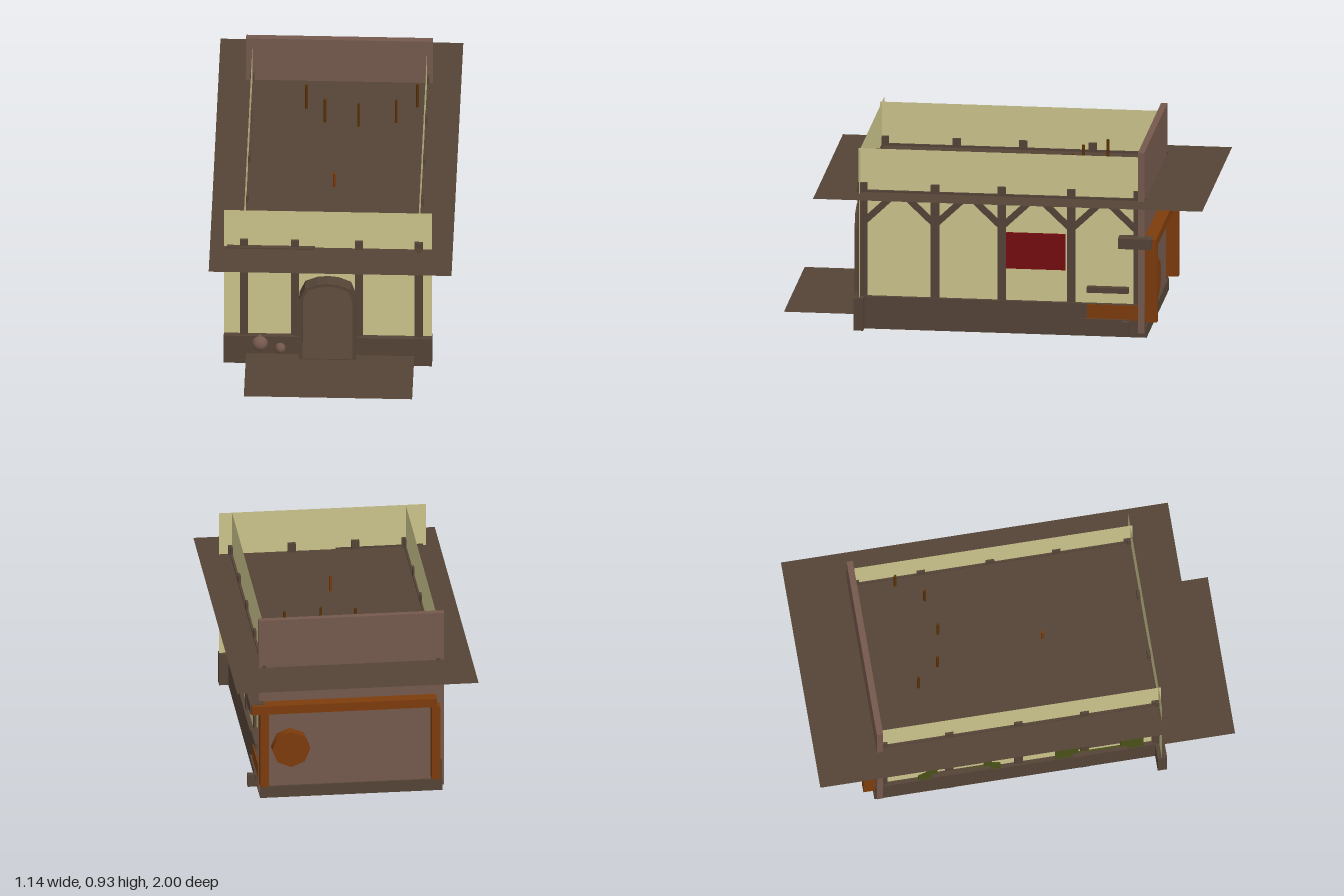
import * as THREE from 'three';

const mat = (name, color, side = THREE.FrontSide) => {
  const m = new THREE.MeshStandardMaterial({ color, side });
  m.name = name;
  return m;
};

export function createModel() {
  const timber = mat('dark timber', 0x554437, THREE.DoubleSide);
  const plaster = mat('yellow plaster', 0xcdc58c, THREE.DoubleSide);
  const plank = mat('pale brown', 0x75594d);
  const orange = mat('orange wood', 0x7d3c0c, THREE.DoubleSide);
  const pole = mat('dark orange wood', 0x5c3307);
  const red = mat('red cloth', 0x750d10);
  const green = mat('green paint', 0x4a5018);

  const root = new THREE.Group();
  const add = (name, geo, m) => {
    const mesh = new THREE.Mesh(geo, m);
    mesh.name = name;
    root.add(mesh);
    return mesh;
  };
  // Box given by its limits on each axis
  const box = (name, m, x0, x1, y0, y1, z0, z1) =>
    add(name, new THREE.BoxGeometry(x1 - x0, y1 - y0, z1 - z0), m)
      .position.set((x0 + x1) / 2, (y0 + y1) / 2, (z0 + z1) / 2);
  const sheet = (name, x0, x1, z0, z1, y) =>
    add(name, new THREE.PlaneGeometry(x1 - x0, z1 - z0).rotateX(-Math.PI / 2), timber)
      .position.set((x0 + x1) / 2, y, (z0 + z1) / 2);
  const poly = (pts, Type = THREE.Shape) => new Type(pts.map(p => new THREE.Vector2(...p)));
  const rect = (a, b, c, d) => [[a, c], [b, c], [b, d], [a, d]];

  // Floor and ceiling sheets
  sheet('floor', -0.4, 0.39, -0.7, 1, 0.085);
  sheet('ceiling', -0.57, 0.57, -1, 0.84, 0.69);

  // Front wall with the doorway cut out
  const archInner = [[-0.135, 0.09], [-0.133, 0.425], [-0.11, 0.485], [-0.06, 0.505], [-0.015, 0.511],
    [0.03, 0.505], [0.08, 0.485], [0.1, 0.425], [0.102, 0.09]];
  const archOuter = [[-0.152, 0.05], [-0.15, 0.43], [-0.122, 0.495], [-0.065, 0.52], [-0.015, 0.526],
    [0.035, 0.52], [0.092, 0.495], [0.115, 0.43], [0.117, 0.05]];
  const front = poly([[-0.505, 0.185], [-0.14, 0.185], ...archInner.slice(1, -1),
    [0.105, 0.185], [0.473, 0.185], [0.473, 0.9], [-0.505, 0.9]]);
  add('frontWall', new THREE.ShapeGeometry(front), plaster).position.z = 0.635;

  // Side walls; the left one has two window openings
  const windowA = rect(-0.42, -0.2, 0.24, 0.42);
  const windowB = [[0.25, 0.22], [0.45, 0.22], [0.45, 0.38], [0.42, 0.43], [0.35, 0.46], [0.28, 0.43], [0.25, 0.38]];
  for (const s of [-1, 1]) {
    const side = poly(rect(-0.7, 0.645, 0.185, 0.9));
    if (s < 0) side.holes.push(poly(windowA, THREE.Path), poly(windowB, THREE.Path));
    add(s < 0 ? 'leftWall' : 'rightWall', new THREE.ShapeGeometry(side).rotateY(-Math.PI / 2), plaster)
      .position.x = s * 0.41;
  }
  box('backWall', plank, -0.44, 0.437, 0.05, 0.93, -0.71, -0.68);

  // Dark base course
  box('frontBaseRight', timber, -0.505, -0.15, 0.028, 0.185, 0.615, 0.66);
  box('frontBaseLeft', timber, 0.113, 0.473, 0.028, 0.185, 0.615, 0.66);
  for (const s of [-1, 1]) {
    const a = s * 0.395, b = s * 0.43;
    box('sideBase', timber, Math.min(a, b), Math.max(a, b), 0.028, 0.185, -0.715, 0.66);
  }
  box('backBase', timber, -0.43, 0.43, 0.028, 0.085, -0.72, -0.68);

  // Timber frame: front posts and beam
  for (const x of [-0.41, -0.17, 0.13, 0.41])
    box('frontPost', timber, x - 0.019, x + 0.019, 0.06, 0.735, 0.62, 0.647);
  box('frontBeam', timber, -0.49, -0.078, 0.66, 0.698, 0.63, 0.655);

  // Timber frame: side posts, beams and diagonal braces
  const posts = [0.622, 0.282, -0.033, -0.362, -0.676];
  for (const s of [-1, 1]) {
    const x0 = s * 0.411 - 0.01, x1 = s * 0.411 + 0.01;
    box('sideBeam', timber, x0, x1, 0.66, 0.7, -0.715, 0.658);
    posts.forEach((z, i) => {
      const foot = s < 0 && (i === 1 || i === 3) ? 0 : 0.06;
      box('sidePost', timber, x0, x1, foot, 0.735, z - 0.02, z + 0.02);
      for (const d of [-1, 1]) {
        if ((i === 0 && d > 0) || (i === 4 && d < 0)) continue;
        const brace = add('brace', new THREE.BoxGeometry(0.017, 0.03, 0.19), timber);
        brace.position.set(s * 0.411, 0.612, z + d * 0.075);
        brace.rotation.x = -d * 0.76;
      }
    });
  }

  // Arched door frame and threshold
  const arch = poly([...archOuter, ...archInner.slice().reverse()]);
  add('doorFrame', new THREE.ExtrudeGeometry(arch, { depth: 0.075, bevelEnabled: false }), timber)
    .position.z = 0.625;
  box('threshold', timber, -0.15, 0.115, 0.05, 0.09, 0.615, 0.7);

  // Rounded stones set into the front base
  for (const [x, y, r, h] of [[-0.335, 0.147, 0.04, 0.04], [-0.239, 0.12, 0.026, 0.03]]) {
    const stone = add('stone', new THREE.SphereGeometry(1, 10, 7), plank);
    stone.scale.set(r, h, r);
    stone.position.set(x, y, 0.655);
  }

  // Green window surrounds on the left side
  const surround = (outer, hole) => {
    const s = poly(outer);
    s.holes.push(poly(hole, THREE.Path));
    add('windowSurround', new THREE.ExtrudeGeometry(s, { depth: 0.009, bevelEnabled: false })
      .rotateY(-Math.PI / 2), green).position.x = -0.418;
  };
  surround([[-0.51, 0.12], [-0.4, 0.15], [-0.12, 0.15], [-0.12, 0.24], [-0.16, 0.26], [-0.16, 0.4],
    [-0.12, 0.42], [-0.12, 0.5], [-0.51, 0.51], [-0.51, 0.41], [-0.47, 0.39], [-0.47, 0.26], [-0.51, 0.23]], windowA);
  surround(rect(0.14, 0.56, 0.12, 0.51), windowB);
  box('windowBar', green, -0.427, -0.418, 0.32, 0.335, 0.25, 0.45);
  box('windowSill', timber, -0.445, -0.418, 0.225, 0.24, -0.45, -0.17);
  box('windowSill', timber, -0.445, -0.418, 0.205, 0.22, 0.22, 0.48);

  // Right side fittings: cloth, shelf, bench panel and beam ends
  box('redCloth', red, 0.411, 0.419, 0.34, 0.515, -0.335, -0.055);
  box('sideShelf', timber, 0.411, 0.445, 0.242, 0.268, -0.635, -0.438);
  box('benchPanel', orange, 0.42, 0.436, 0.11, 0.183, -0.7, -0.44);
  box('benchRail', timber, 0.42, 0.445, 0.088, 0.115, -0.65, -0.405);
  box('benchFoot', timber, 0.42, 0.48, 0.053, 0.112, -0.64, -0.607);
  box('beamEnd', timber, 0.411, 0.481, 0.47, 0.52, -0.75, -0.59);

  // Back frame and round barrel end
  box('backBeam', orange, -0.4, 0.475, 0.475, 0.517, -0.77, -0.71);
  for (const x of [-0.395, 0.415]) box('backPost', orange, x - 0.02, x + 0.02, 0.105, 0.475, -0.77, -0.712);
  add('barrelEnd', new THREE.CylinderGeometry(0.09, 0.09, 0.05, 8).rotateX(Math.PI / 2).toNonIndexed(), orange)
    .position.set(0.288, 0.287, -0.735);

  // Curved bar counter with canopy, inside the room
  const arc = (name, m, r, y0, y1) => {
    const ring = add(name, new THREE.CylinderGeometry(r, r, y1 - y0, 20, 1, true, -Math.PI / 2, Math.PI), m);
    ring.scale.z = 1.25;
    ring.position.set(0.11, (y0 + y1) / 2, -0.67);
  };
  arc('counterFront', orange, 0.26, 0.085, 0.245);
  arc('counterBase', timber, 0.265, 0.085, 0.11);
  arc('counterEdge', timber, 0.275, 0.245, 0.28);
  arc('canopy', pole, 0.27, 0.375, 0.435);
  const top = add('counterTop', new THREE.RingGeometry(0.2, 0.275, 20, 1, Math.PI, Math.PI).rotateX(-Math.PI / 2), timber);
  top.scale.z = 1.25;
  top.position.set(0.11, 0.28, -0.67);
  for (const x of [-0.07, -0.02, 0.035, 0.09])
    box('counterStud', timber, x - 0.007, x + 0.007, 0.1, 0.245, -0.44, -0.325);

  // Shelves and lying casks behind the bar
  for (const y of [0.275, 0.37, 0.45]) box('barShelf', timber, -0.35, 0.36, y, y + 0.012, -0.68, -0.6);
  for (let i = 0; i < 3; i++) {
    const profile = [[0, -0.11], [0.03, -0.11], [0.04, 0], [0.03, 0.11], [0, 0.11]].map(p => new THREE.Vector2(...p));
    add('cask', new THREE.LatheGeometry(profile, 12).rotateZ(Math.PI / 2), orange)
      .position.set(-0.23 + i * 0.235, 0.327, -0.63);
  }

  // Slender poles rising through the ceiling
  for (const [x, z, h] of [[-0.15, -0.465, 0.825], [-0.06, -0.36, 0.82], [0.1, -0.33, 0.82],
    [0.275, -0.365, 0.82], [0.37, -0.49, 0.82], [0, 0.15, 0.767]])
    add('pole', new THREE.CylinderGeometry(0.007, 0.007, h - 0.43, 6), z > 0 ? orange : pole)
      .position.set(x, (h + 0.43) / 2, z);

  return root;
}
